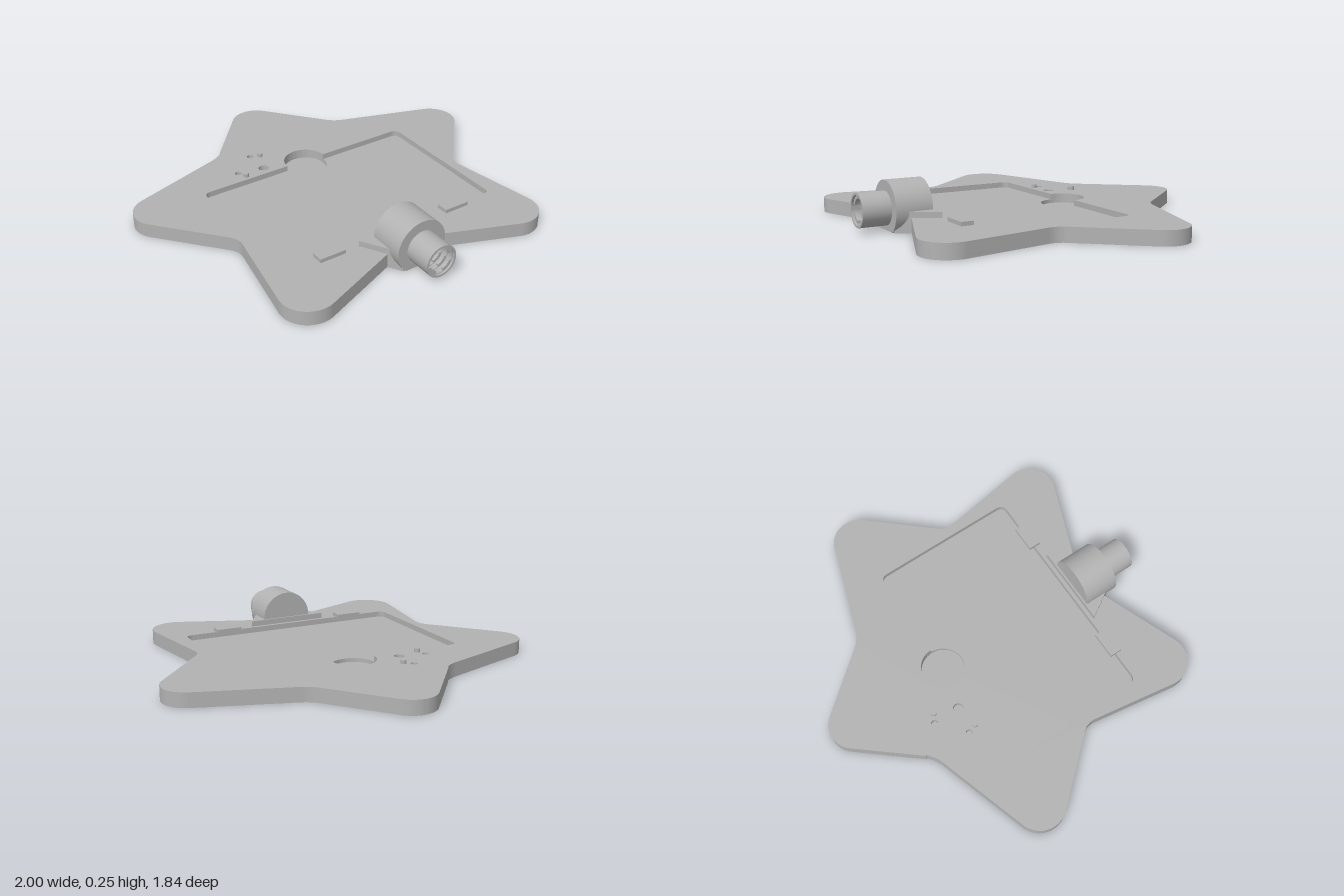
import * as THREE from 'three';
import { toCreasedNormals } from 'three/addons/utils/BufferGeometryUtils.js';

const grey = new THREE.MeshStandardMaterial({ color: 0xb2b2b2 });
grey.name = 'grey plastic';

const TOP = 0.075, RECESS = 0.045, WELL = 0.025;

// Star outline in (x, z): rounded tips joined by tangents to softened notches
function starShape() {
  const tips = [[0, -0.74, 0.13], [0.865, -0.185, 0.135], [0.603, 0.775, 0.14],
    [-0.603, 0.775, 0.14], [-0.865, -0.185, 0.135]];
  const notches = [[0.38, -0.485], [0.66, 0.255], [0, 0.69], [-0.66, 0.255], [-0.38, -0.485]];
  const shape = new THREE.Shape();
  tips.forEach(([cx, cz, r], i) => {
    const before = notches[(i + 4) % 5], after = notches[i];
    const tangent = (n, side) => {
      const dx = n[0] - cx, dz = n[1] - cz;
      return Math.atan2(dz, dx) + side * Math.acos(r / Math.hypot(dx, dz));
    };
    const a0 = tangent(before, 1), a1 = tangent(after, -1);
    const onTip = a => [cx + r * Math.cos(a), cz + r * Math.sin(a)];
    const near = (n, p) => {
      const k = 0.05 / Math.hypot(p[0] - n[0], p[1] - n[1]);
      return [n[0] + (p[0] - n[0]) * k, n[1] + (p[1] - n[1]) * k];
    };
    const start = near(before, onTip(a0));
    if (i === 0) shape.moveTo(...start);
    else shape.quadraticCurveTo(...before, ...start);
    shape.lineTo(...onTip(a0));
    shape.absarc(cx, cz, r, a0, a1, false);
    shape.lineTo(...near(after, onTip(a1)));
    if (i === 4) shape.quadraticCurveTo(...notches[4], ...near(notches[4], [0, -0.87 + 0.0]));
  });
  shape.closePath();
  return shape;
}

const circle = (x, z, r) => new THREE.Path().absarc(x, z, r, 0, Math.PI * 2, false);

// Display recess merged with the round well at its back edge
function recessPath() {
  const w = 0.615, b = -0.195, f = 0.6, c = 0.04, p = new THREE.Path();
  p.moveTo(-0.115, b);
  p.absarc(0, b, 0.115, Math.PI, Math.PI * 2, false);
  p.lineTo(w - c, b);
  p.quadraticCurveTo(w, b, w, b + c);
  p.lineTo(w, f - c);
  p.quadraticCurveTo(w, f, w - c, f);
  p.lineTo(-w + c, f);
  p.quadraticCurveTo(-w, f, -w, f - c);
  p.lineTo(-w, b + c);
  p.quadraticCurveTo(-w, b, -w + c, b);
  p.closePath();
  return p;
}

function extrude(shape, depth) {
  return new THREE.ExtrudeGeometry(shape, { depth, bevelEnabled: false, curveSegments: 24 });
}

export function createModel() {
  const model = new THREE.Group();
  const add = (name, geometry, x = 0, y = 0, z = 0) => {
    const mesh = new THREE.Mesh(toCreasedNormals(geometry, 0.5), grey);
    mesh.name = name;
    mesh.position.set(x, y, z);
    model.add(mesh);
  };
  // Horizontal slab between two heights, drawn in (x, z)
  const slab = (name, shape, y0, y1, holes = []) => {
    shape.holes.push(...holes);
    add(name, extrude(shape, y1 - y0).rotateX(Math.PI / 2), 0, y1, 0);
  };
  // Part extruded forward, drawn in (x, y)
  const forward = (name, shape, y, z0, z1) => add(name, extrude(shape, z1 - z0), 0, y, z0);

  // Star plate in three layers, with blind holes underneath
  const mounts = () => [-0.53, 0.53].map(x => circle(x, -0.32, 0.024));
  slab('plateBottom', starShape(), 0, WELL, mounts());
  slab('plateMiddle', starShape(), WELL, RECESS, [circle(0, -0.195, 0.115), ...mounts()]);
  slab('plateTop', starShape(), RECESS, TOP, [recessPath(),
    circle(-0.23, -0.395, 0.018), circle(-0.37, -0.275, 0.018), circle(-0.23, -0.25, 0.027)]);

  // Small pegs beside the holes
  for (const [x, z] of [[-0.183, -0.37], [-0.35, -0.227]])
    add('peg', new THREE.CylinderGeometry(0.015, 0.015, 0.04, 20), x, TOP, z);

  // Tabs over the front edge of the recess
  for (const s of [-1, 1])
    add('retainingTab', new THREE.BoxGeometry(0.14, 0.02, 0.065), s * 0.372, TOP + 0.01, 0.6);

  // Tapered bracket carrying the connector
  const bracket = new THREE.Shape([[-0.218, 0.62], [0.218, 0.62], [0.1, 0.815], [-0.1, 0.815]]
    .map(p => new THREE.Vector2(...p)));
  slab('connectorBracket', bracket, 0, 0.105);

  // Connector body, cut flat at the ground
  const axis = 0.108, R = 0.138, cut = Math.asin(axis / R);
  const body = new THREE.Shape();
  body.absarc(0, 0, R, -cut, Math.PI + cut, false);
  body.closePath();
  forward('connectorBody', body, axis, 0.63, 0.82);

  // Hollow spout
  const spout = new THREE.Shape().absarc(0, 0, 0.085, 0, Math.PI * 2, false);
  spout.holes.push(circle(0, 0, 0.074));
  forward('connectorSpout', spout, axis, 0.82, 0.965);

  // Inner ribs with four key slots
  for (let i = 0; i < 4; i++) {
    const z = 0.835 + i * 0.035;
    const rib = new THREE.Shape().absarc(0, 0, 0.076, 0, Math.PI * 2, false);
    const bore = new THREE.Path();
    for (let k = 0; k < 4; k++) {
      const a = k * Math.PI / 2;
      bore.absarc(0, 0, 0.07, a - 0.3, a + 0.3, false);
      bore.absarc(0, 0, 0.057, a + 0.36, a + Math.PI / 2 - 0.36, false);
    }
    bore.closePath();
    rib.holes.push(bore);
    forward('spoutRib', rib, axis, z, z + 0.014);
  }
  return model;
}
